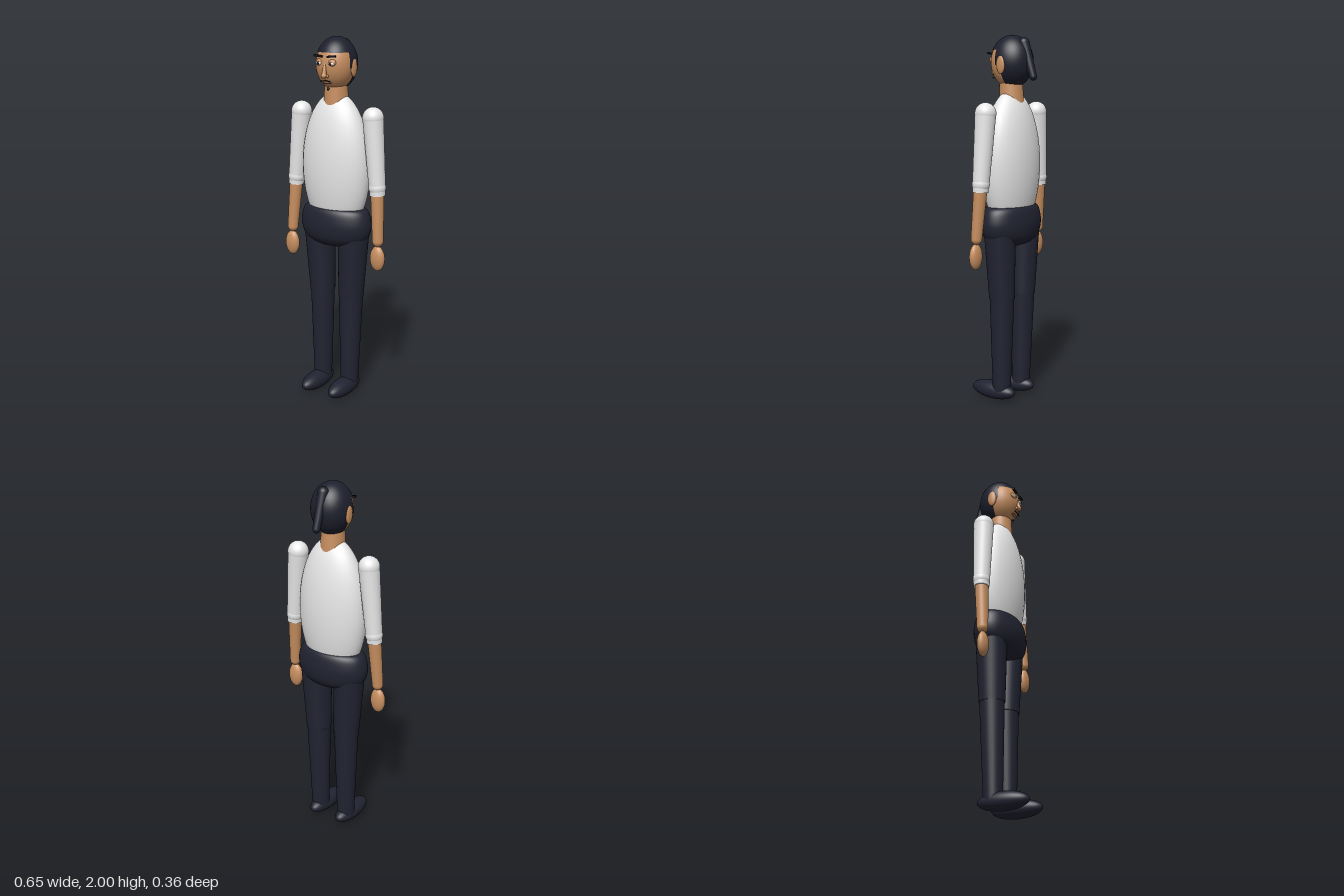
import * as THREE from 'three';

const mat = (name, color, side = THREE.FrontSide) => {
  const m = new THREE.MeshStandardMaterial({ color, side });
  m.name = name;
  return m;
};

export function createModel() {
  const root = new THREE.Group();
  root.name = 'standingFigure';
  const skin = mat('skin', 0xc68e5f);
  const shirt = mat('shirt', 0xe8e8e8);
  const navy = mat('darkCloth', 0x212331);
  const hair = mat('hair', 0x1e202d, THREE.DoubleSide);
  const eyeWhite = mat('eyeWhite', 0xe4e2de);
  const black = mat('black', 0x15151b);
  const lip = mat('lip', 0x96604a);

  const add = (name, geo, material, pos = [0, 0, 0], scale = [1, 1, 1]) => {
    const m = new THREE.Mesh(geo, material);
    m.name = name;
    m.position.set(...pos);
    m.scale.set(...scale);
    root.add(m);
    return m;
  };
  const ball = (name, material, pos, radii) =>
    add(name, new THREE.SphereGeometry(1, 32, 24), material, pos, radii);
  // Tapered round limb between two points
  const limb = (name, material, a, b, ra, rb) => {
    const p = new THREE.Vector3(...a), q = new THREE.Vector3(...b);
    const dir = p.clone().sub(q);
    const m = add(name, new THREE.CylinderGeometry(ra, rb, dir.length(), 32), material);
    m.position.copy(p).add(q).multiplyScalar(0.5);
    m.quaternion.setFromUnitVectors(new THREE.Vector3(0, 1, 0), dir.normalize());
    return m;
  };
  const r3 = (r) => [r, r, r];

  // Torso and pelvis
  ball('torso', shirt, [0, 1.31, -0.018], [0.205, 0.4, 0.125]);
  const hipProfile = [[0, 0.86], [0.07, 0.865], [0.13, 0.878], [0.18, 0.905], [0.205, 0.94],
    [0.215, 0.985], [0.211, 1.025], [0.2, 1.06], [0.183, 1.08], [0.16, 1.085], [0.13, 1.06]]
    .map(([x, y]) => new THREE.Vector2(x, y));
  const hipCurve = new THREE.SplineCurve(hipProfile).getPoints(36);
  hipCurve[0].x = 0;
  add('hips', new THREE.LatheGeometry(hipCurve, 48), navy, [0, 0, -0.018], [1, 1, 0.595]);

  // Neck and head
  limb('neck', skin, [0, 1.77, -0.015], [0, 1.62, -0.019], 0.06, 0.07);
  ball('head', skin, [0, 1.855, -0.01], [0.104, 0.135, 0.105]);

  // Hair: crown, back of the head and sideburns share one ellipsoid
  const hairPart = (name, phi, phiLen, theta, thetaLen) =>
    add(name, new THREE.SphereGeometry(1, 40, 24, phi, phiLen, theta, thetaLen), hair,
      [0, 1.86, -0.022], [0.111, 0.14, 0.118]);
  hairPart('hairCrown', 0, Math.PI * 2, 0, 1.12);
  hairPart('hairBack', Math.PI, Math.PI, 1.12, 1.9);
  hairPart('rightSideburn', 0, 0.3, 1.12, 0.6);
  hairPart('leftSideburn', Math.PI - 0.3, 0.3, 1.12, 0.6);

  // Ponytail
  ball('ponytailKnot', hair, [0, 1.955, -0.1], r3(0.03));
  limb('ponytail', hair, [0, 1.955, -0.1], [0, 1.778, -0.16], 0.03, 0.02);
  ball('ponytailTip', hair, [0, 1.778, -0.16], r3(0.02));

  // Nose, mouth and chin tuft
  limb('noseBridge', skin, [0, 1.865, 0.088], [0, 1.805, 0.1], 0.007, 0.013);
  ball('noseTip', skin, [0, 1.803, 0.1], [0.016, 0.014, 0.015]);
  ball('mouth', lip, [0, 1.764, 0.068], [0.026, 0.007, 0.012]);
  ball('chinTuft', black, [0, 1.732, 0.06], [0.007, 0.008, 0.007]);

  for (const s of [1, -1]) {
    const side = s > 0 ? 'left' : 'right';
    const p = (x, y, z) => [s * x, y, z];

    // Face details
    ball(side + 'Ear', skin, p(0.106, 1.84, -0.025), [0.012, 0.048, 0.026]);
    ball(side + 'EyeLid', skin, p(0.038, 1.87, 0.079), [0.023, 0.019, 0.016]);
    ball(side + 'Eye', eyeWhite, p(0.038, 1.866, 0.083), [0.019, 0.011, 0.015]);
    ball(side + 'Pupil', black, p(0.038, 1.866, 0.095), [0.007, 0.008, 0.005]);
    ball(side + 'Nostril', skin, p(0.014, 1.8, 0.09), [0.008, 0.009, 0.01]);
    const brow = add(side + 'Brow', new THREE.BoxGeometry(0.052, 0.01, 0.012), black, p(0.041, 1.903, 0.091));
    brow.rotation.z = s * 0.1;
    const whisker = add(side + 'Moustache', new THREE.BoxGeometry(0.03, 0.004, 0.006), black, p(0.016, 1.775, 0.086));
    whisker.rotation.z = -s * 0.15;

    // Arm with a rolled sleeve
    ball(side + 'Shoulder', shirt, p(0.229, 1.588, -0.02), r3(0.057));
    limb(side + 'UpperSleeve', shirt, p(0.229, 1.588, -0.02), p(0.263, 1.22, -0.014), 0.056, 0.045);
    ball(side + 'Elbow', shirt, p(0.263, 1.22, -0.014), r3(0.047));
    limb(side + 'Cuff', shirt, p(0.263, 1.235, -0.014), p(0.266, 1.178, -0.013), 0.044, 0.042);
    limb(side + 'Forearm', skin, p(0.265, 1.2, -0.013), p(0.281, 0.93, 0.003), 0.037, 0.03);
    ball(side + 'Wrist', skin, p(0.281, 0.93, 0.003), r3(0.03));
    ball(side + 'Hand', skin, p(0.282, 0.835, 0.007), [0.044, 0.07, 0.028]);

    // Leg and shoe
    ball(side + 'HipJoint', navy, p(0.11, 0.94, -0.022), r3(0.086));
    limb(side + 'Thigh', navy, p(0.11, 0.94, -0.022), p(0.095, 0.58, -0.024), 0.086, 0.07);
    ball(side + 'Knee', navy, p(0.095, 0.58, -0.024), r3(0.066));
    limb(side + 'Shin', navy, p(0.095, 0.58, -0.024), p(0.09, 0.06, -0.018), 0.067, 0.05);
    ball(side + 'Shoe', navy, p(0.09, 0.05, 0.038), [0.055, 0.05, 0.142]);
  }
  return root;
}
